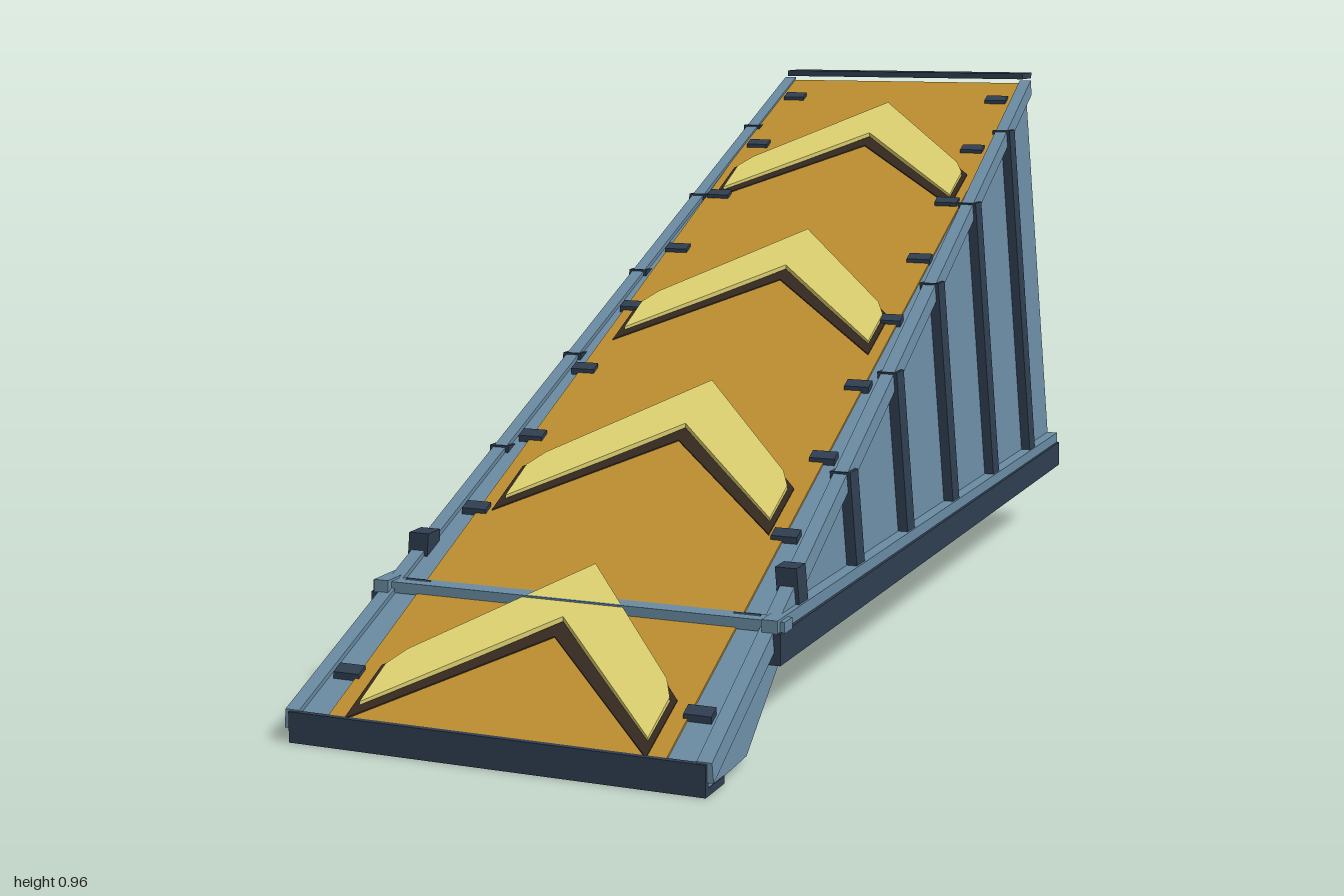
import * as THREE from 'three';

const mat = (name, color) => {
  const m = new THREE.MeshStandardMaterial({ color });
  m.name = name;
  return m;
};

export function createModel() {
  const blue = mat('steel blue', 0x6a8ca3);
  const navy = mat('dark navy', 0x2f3e50);
  const orange = mat('deck orange', 0xbd8d30);
  const yellow = mat('chevron yellow', 0xded270);
  const brown = mat('chevron border brown', 0x35291f);

  const root = new THREE.Group();
  root.name = 'ramp';
  const add = (name, geo, material, parent = root) => {
    const mesh = new THREE.Mesh(geo, material);
    mesh.name = name;
    parent.add(mesh);
    return mesh;
  };

  // Sloped top line and half width of the leaning sides
  const deckY = z => 0.045 + 0.46 * (1 - z);
  const halfW = y => 0.345 - 0.084 * y;

  // Moves every vertex by a rule and refreshes the flat normals
  const bend = (geo, rule) => {
    const g = geo.index ? geo.toNonIndexed() : geo;
    const p = g.attributes.position;
    const v = new THREE.Vector3();
    for (let i = 0; i < p.count; i++) {
      v.fromBufferAttribute(p, i);
      rule(v);
      p.setXYZ(i, v.x, v.y, v.z);
    }
    g.computeVertexNormals();
    return g;
  };

  const box = (w, h, d, x, y, z) => new THREE.BoxGeometry(w, h, d).translate(x, y, z);

  // Plate following the slope, outlined by [x, z] points
  const slopePlate = (points, lift, thick, extra = () => 0) => {
    const shape = new THREE.Shape(points.map(([x, z]) => new THREE.Vector2(x, -z)));
    const g = new THREE.ExtrudeGeometry(shape, { depth: thick, bevelEnabled: false });
    g.rotateX(-Math.PI / 2);
    return bend(g, v => { v.y += deckY(v.z) + lift + extra(v.z); });
  };

  // Wedge body: blue sides, navy back and underside
  const profile = [[0.995, 0.008], [0.84, 0.014], [0.66, 0.13], [-0.95, 0.13],
    [-0.95, deckY(-0.95) - 0.008], [0.995, deckY(0.995) - 0.008]];
  const body = new THREE.ExtrudeGeometry(
    new THREE.Shape(profile.map(([z, y]) => new THREE.Vector2(z, y))),
    { depth: 1, bevelEnabled: false });
  body.rotateY(-Math.PI / 2).translate(0.5, 0, 0);
  add('body', bend(body, v => { v.x *= 2 * halfW(v.y); }), [blue, navy]);

  // Edge strips and driving deck
  const trapezoid = (front, back) => [[-front, 0.993], [front, 0.993], [back, -0.948], [-back, -0.948]];
  add('edgeStrips', slopePlate(trapezoid(0.34, 0.265), -0.009, 0.004), blue);
  add('deck', slopePlate(trapezoid(0.28, 0.264), -0.007, 0.006), orange);

  // Chevrons with dark borders, mirrored around x = 0
  const mirrored = half => [...half, ...half.filter(([x]) => x > 0).reverse().map(([x, z]) => [-x, z])];
  const chevronShape = (apex, shoulder, tip, end, inner) => {
    const right = [apex, shoulder, tip, end];
    const left = right.slice(1).reverse().map(([x, z]) => [-x, z]);
    return [...right, inner, ...left];
  };
  for (let i = 0; i < 4; i++) {
    const z0 = -0.83 + i * 0.487;
    const at = pts => pts.map(([x, z]) => [x, z + z0]);
    const rise = z => 0.008 * Math.max(0, 1 - (z - z0) / 0.35);
    const group = new THREE.Group();
    group.name = 'chevron' + (i + 1);
    root.add(group);
    add('border', slopePlate(at(chevronShape(
      [0, 0], [0.225, 0.225], [0.25, 0.25], [0.25, 0.365], [0, 0.15])), -0.004, 0.005), brown, group);
    add('arrow', slopePlate(at(chevronShape(
      [0, 0], [0.22, 0.22], [0.24, 0.255], [0.24, 0.335], [0, 0.12])), -0.002, 0.008, rise), yellow, group);
  }

  // Small tread markers along both deck edges
  for (let k = 0; k < 10; k++) {
    const z = 1 - (0.09 + 0.0906 * k - 0.045) / 0.46;
    const x = 0.295 - 0.0078 * k;
    for (const s of [1, -1]) {
      add('treadMarker', bend(box(0.045, 0.012, 0.02, s * x, 0, z), v => { v.y += deckY(v.z); }), navy);
    }
  }

  for (const s of [1, -1]) {
    // Sloped top rail
    add('topRail', bend(box(0.024, 0.03, 1.945, 0, -0.011, 0.0225), v => {
      v.y += deckY(v.z);
      v.x += s * halfW(v.y);
    }), blue);

    // Base rail with blue upper ledge
    add('baseRail', box(0.03, 0.05, 1.68, s * 0.34, 0.148, -0.11), navy);
    add('baseLedge', box(0.026, 0.02, 1.68, s * 0.337, 0.183, -0.11), blue);

    // Leaning side ribs
    for (let i = 0; i < 6; i++) {
      const z = 0.607 - i * 0.273;
      const top = i === 0 ? 0.25 : deckY(z) - 0.002;
      add('sideRib', bend(box(0.036, top - 0.16, 0.04, 0, (top + 0.16) / 2, z), v => {
        v.x += s * halfW(v.y);
      }), navy);
    }
  }

  // Crossbar, top cap and front lip
  add('crossbar', box(0.715, 0.018, 0.034, 0, 0.18, 0.702), blue);
  add('topCap', box(0.53, 0.012, 0.07, 0, 0.955, -0.965), navy);
  add('frontLip', box(0.69, 0.046, 0.01, 0, 0.026, 0.995), navy);
  add('lipSole', box(0.69, 0.012, 0.07, 0, 0.006, 0.965), navy);

  // Wheels half sunk into the underside, joined by axles
  for (const z of [-0.5, -0.78]) {
    for (const s of [1, -1]) {
      const wheel = new THREE.CylinderGeometry(0.074, 0.074, 0.045, 16).rotateZ(Math.PI / 2);
      add('wheel', wheel.translate(s * 0.225, 0.129, z), navy);
    }
    const axle = new THREE.CylinderGeometry(0.008, 0.008, 0.45, 8).rotateZ(Math.PI / 2);
    add('axle', axle.translate(0, 0.128, z), navy);
  }

  return root;
}
